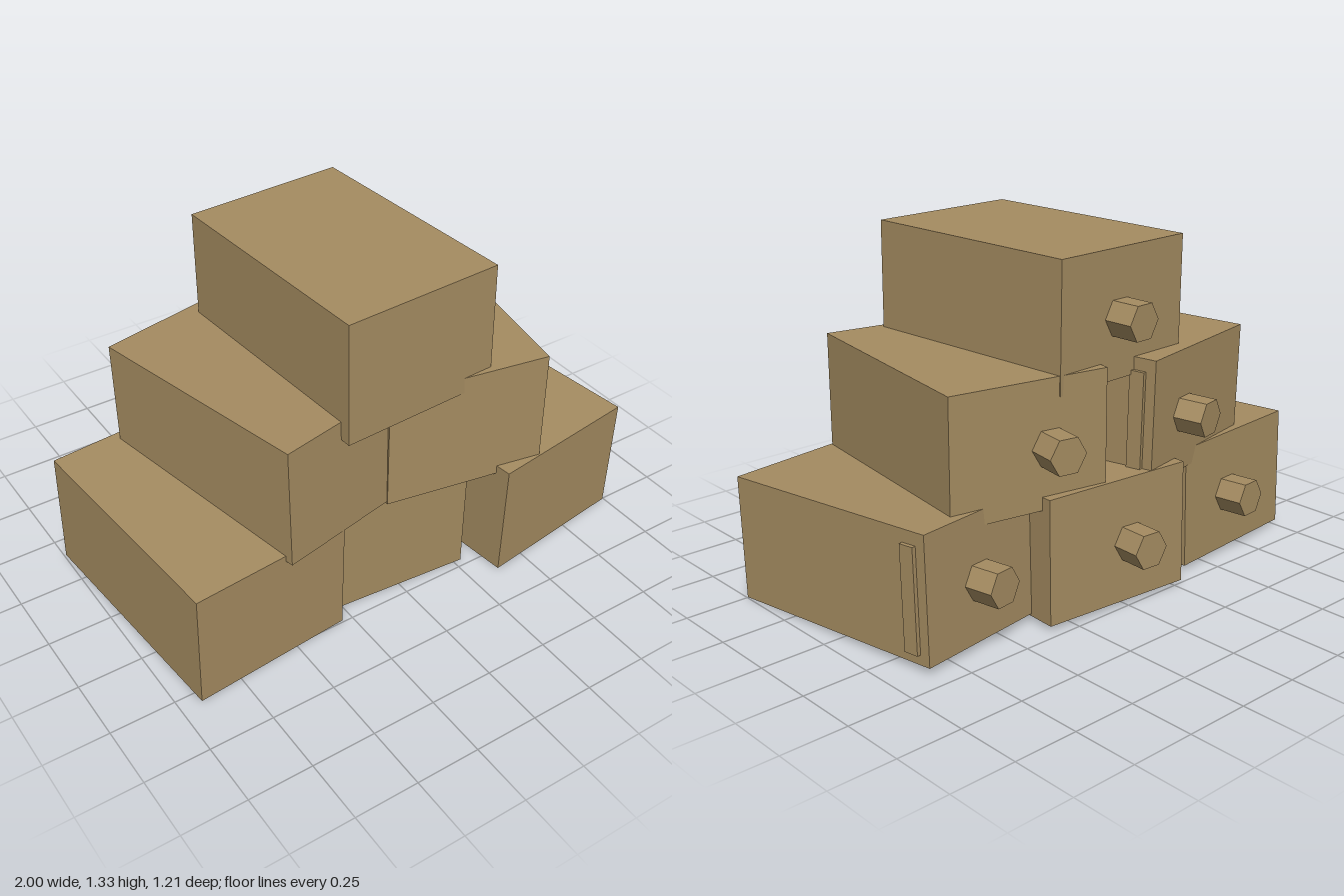
import * as THREE from 'three';

const W = 0.63, H = 0.476, D = 0.935;
const rad = THREE.MathUtils.degToRad;

export function createModel() {
  const model = new THREE.Group();
  model.name = 'blockStack';

  const tan = new THREE.MeshStandardMaterial({ color: 0xa58c61, flatShading: true });
  tan.name = 'tan';

  const bodyGeo = new THREE.BoxGeometry(W, H, D);
  const stripGeo = new THREE.BoxGeometry(0.03, 0.39, 0.06);
  // Hexagonal plug with corners to the sides, pointing along z
  const plugGeo = new THREE.CylinderGeometry(0.074, 0.074, 0.16, 6);
  plugGeo.rotateY(Math.PI / 6).rotateX(Math.PI / 2);

  const add = (parent, geo, name, x, y, z) => {
    const mesh = new THREE.Mesh(geo, tan);
    mesh.name = name;
    mesh.position.set(x, y, z);
    parent.add(mesh);
  };

  // Block: centre, yaw and pitch in degrees, sideways plug offset, side of the strip
  const blocks = [
    { name: 'lowerRightBlock', at: [-0.645, 0.248, 0.06], yaw: 5.1, pitch: 1.4, plug: 0.045, strip: 0 },
    { name: 'lowerMiddleBlock', at: [0.002, 0.247, -0.015], yaw: -4.5, pitch: 1, plug: -0.055, strip: 0 },
    { name: 'lowerLeftBlock', at: [0.62, 0.25, 0.09], yaw: 8, pitch: 1.6, plug: 0.055, strip: 1 },
    { name: 'middleRightBlock', at: [-0.33, 0.68, 0.03], yaw: 11.8, pitch: -1.2, plug: 0.1, strip: 1 },
    { name: 'middleLeftBlock', at: [0.315, 0.68, 0.058], yaw: -10, pitch: 0, plug: -0.08, strip: -1 },
    { name: 'topBlock', at: [-0.01, 1.088, 0.055], yaw: 3, pitch: -0.6, plug: 0.02, strip: 0 },
  ];

  for (const b of blocks) {
    const block = new THREE.Group();
    block.name = b.name;
    block.position.set(...b.at);
    block.rotation.set(rad(b.pitch), rad(b.yaw), 0, 'YXZ');
    add(block, bodyGeo, 'body', 0, 0, 0);
    add(block, plugGeo, 'plug', b.plug, -0.01, -D / 2 - 0.035);
    if (b.strip) add(block, stripGeo, 'sideStrip', b.strip * W / 2, -0.005, -D / 2 + 0.07);
    model.add(block);
  }
  return model;
}
